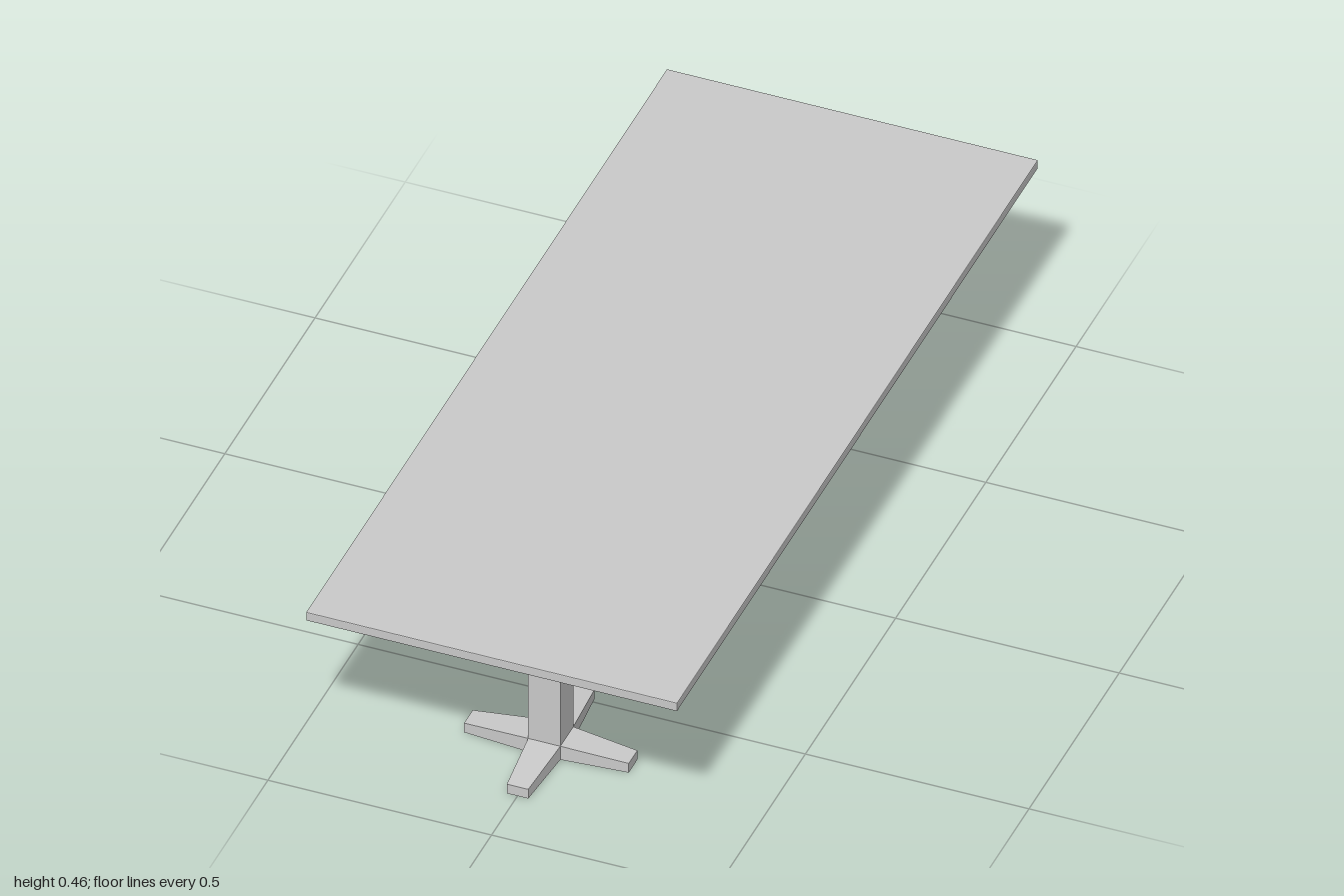
import * as THREE from 'three';
import { RoundedBoxGeometry } from 'three/addons/geometries/RoundedBoxGeometry.js';

const POST = 0.072, POST_Z = 0.672;
const TOP_Y = 0.463, TOP_T = 0.022;
const FOOT_H = 0.035, ARM_LEN = 0.184, ARM_END_H = 0.024, ARM_END_W = 0.048;

// Tapered foot arm along +x: a shell open at the bottom and at the post
function armGeometry() {
  const h = POST / 2, e = ARM_END_W / 2;
  const section = (x, y, w) => [[x, 0, w], [x, y, w], [x, y, -w], [x, 0, -w]];
  const a = section(h, FOOT_H, h), b = section(ARM_LEN, ARM_END_H, e);
  const pos = [];
  const quad = (p, q, r, s) => pos.push(...p, ...q, ...r, ...p, ...r, ...s);
  for (let i = 0; i < 3; i++) quad(a[i], b[i], b[i + 1], a[i + 1]);
  quad(b[0], b[3], b[2], b[1]);
  const g = new THREE.BufferGeometry();
  g.setAttribute('position', new THREE.Float32BufferAttribute(pos, 3));
  g.computeVertexNormals();
  return g;
}

export function createModel() {
  const model = new THREE.Group();
  model.name = 'table';
  const grey = new THREE.MeshStandardMaterial({ color: 0xcccccc, flatShading: true });
  const shell = new THREE.MeshStandardMaterial({ color: 0xcccccc, flatShading: true, side: THREE.DoubleSide });

  const add = (parent, name, geometry, material, y = 0) => {
    const mesh = new THREE.Mesh(geometry, material);
    mesh.name = name;
    mesh.position.y = y;
    parent.add(mesh);
    return mesh;
  };

  // Table top with slightly eased edges
  add(model, 'tableTop', new RoundedBoxGeometry(0.83, TOP_T, 2, 1, 0.002), grey, TOP_Y - TOP_T / 2);

  // Two pedestals: square post on a four-armed foot
  const postH = TOP_Y - TOP_T - FOOT_H;
  const postGeo = new THREE.BoxGeometry(POST, postH, POST);
  const armGeo = armGeometry();
  for (const [side, name] of [[1, 'frontPedestal'], [-1, 'backPedestal']]) {
    const pedestal = new THREE.Group();
    pedestal.name = name;
    pedestal.position.z = side * POST_Z;
    add(pedestal, 'post', postGeo, grey, FOOT_H + postH / 2);
    for (let i = 0; i < 4; i++) add(pedestal, 'footArm', armGeo, shell).rotation.y = i * Math.PI / 2;
    model.add(pedestal);
  }

  // Flat rail joining the posts
  add(model, 'stretcher', new THREE.BoxGeometry(0.07, 0.015, 2 * POST_Z - POST), grey, 0.347);

  return model;
}
